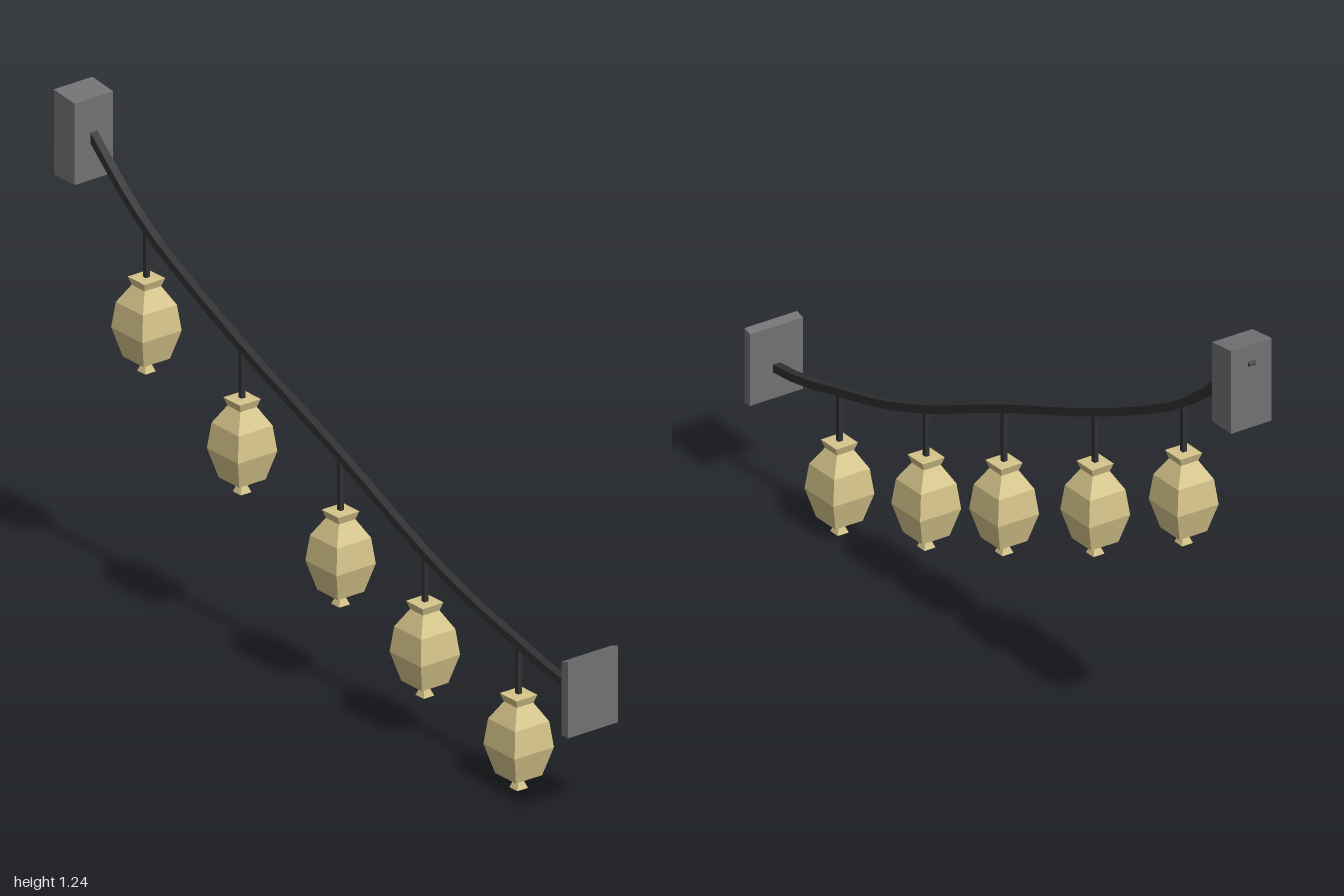
import * as THREE from 'three';

const iron = new THREE.MeshStandardMaterial({ name: 'dark iron', color: 0x303032 });
const stone = new THREE.MeshStandardMaterial({ name: 'grey stone', color: 0x737173 });
const paper = new THREE.MeshStandardMaterial({ name: 'straw paper', color: 0xd5c48a });

function part(name, geometry, material) {
  const flat = geometry.index ? geometry.toNonIndexed() : geometry;
  flat.computeVertexNormals();
  const mesh = new THREE.Mesh(flat, material);
  mesh.name = name;
  return mesh;
}

// Wall block with a slightly sloping top (slope is the height change from -x to +x)
function wallBlock(name, x0, x1, y0, y1, depth, slope) {
  const geo = new THREE.BoxGeometry(x1 - x0, y1 - y0, depth);
  geo.translate((x0 + x1) / 2, (y0 + y1) / 2, 0);
  const pos = geo.attributes.position;
  for (let i = 0; i < pos.count; i++) {
    if (pos.getY(i) > (y0 + y1) / 2 && (pos.getX(i) > (x0 + x1) / 2) === (slope < 0)) {
      pos.setY(i, y1 - Math.abs(slope));
    }
  }
  return part(name, geo, stone);
}

// Square lantern body: half-width and height, from the foot to the collar
const profile = [
  [0, 0], [0.016, 0], [0.009, 0.018], [0.04, 0.035], [0.06, 0.11],
  [0.052, 0.177], [0.025, 0.224], [0.032, 0.245], [0, 0.247],
].map(([r, y]) => new THREE.Vector2(r * Math.SQRT2, y));

function lantern(x, top, cableY) {
  const group = new THREE.Group();
  group.name = 'lantern';
  const body = new THREE.LatheGeometry(profile, 4).rotateY(Math.PI / 4);
  body.translate(x, top - 0.247, 0);
  group.add(part('lanternBody', body, paper));

  const length = cableY - top + 0.005;
  const hanger = new THREE.BoxGeometry(0.012, length, 0.012);
  hanger.translate(x, top - 0.005 + length / 2, 0);
  group.add(part('hanger', hanger, iron));
  return group;
}

export function createModel() {
  const model = new THREE.Group();
  model.name = 'lanternString';

  // Blocks holding the two ends
  model.add(wallBlock('upperWallBlock', -1, -0.92, 1.02, 1.243, 0.118, -0.01));
  model.add(wallBlock('lowerWallPlate', 0.976, 1, 0.25, 0.45, 0.154, 0.007));

  // Sagging cable of square section
  const path = new THREE.CatmullRomCurve3([
    [-1, 1.2], [-0.92, 1.13], [-0.8, 1.025], [-0.7, 0.953], [-0.59, 0.894],
    [-0.35, 0.783], [0.03, 0.63], [0.355, 0.488], [0.53, 0.427],
    [0.715, 0.38], [0.87, 0.343], [0.985, 0.33],
  ].map(([x, y]) => new THREE.Vector3(x, y, 0)));
  const h = 0.0105;
  const section = new THREE.Shape([
    new THREE.Vector2(-h, -h), new THREE.Vector2(h, -h),
    new THREE.Vector2(h, h), new THREE.Vector2(-h, h),
  ]);
  const cable = new THREE.ExtrudeGeometry(section, { steps: 26, extrudePath: path });
  model.add(part('cable', cable, iron));

  // Five hanging lanterns: x, top of the lantern, height of the cable
  [
    [-0.718, 0.835, 0.963], [-0.35, 0.648, 0.783], [0.029, 0.487, 0.63],
    [0.353, 0.362, 0.488], [0.714, 0.247, 0.38],
  ].forEach(([x, top, cableY]) => model.add(lantern(x, top, cableY)));

  return model;
}
